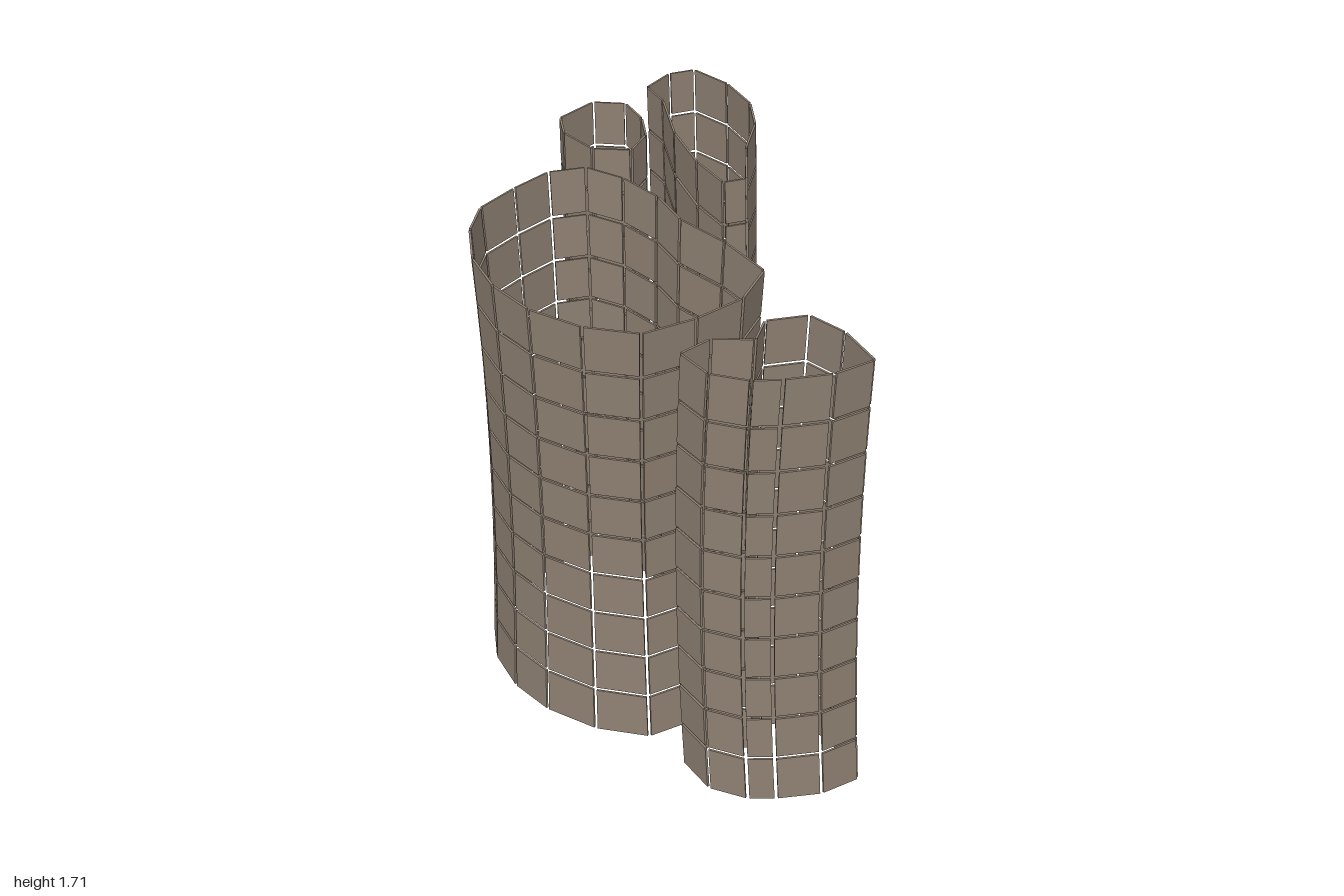
import * as THREE from 'three';

const ROWS = 10, MID = 0.854, GAP = 0.006, HALF_THICK = 0.004;

// Each tower: plan outline [x, z] at its ends, waist pinch, sideways bow at mid height,
// and a rule for how far its ends stop short of the full height
const TOWERS = [
  {
    name: 'mainTower', pinch: 0.055, bow: [0, 0],
    trim: x => 0.024 * THREE.MathUtils.clamp((x + 0.65) / 0.65, 0, 1),
    outline: [[-0.47, 0], [-0.29, 0.01], [-0.12, 0.07], [0.1, 0.08], [0.33, 0.135], [0.405, 0.32],
      [0.385, 0.52], [0.325, 0.71], [0.155, 0.81], [-0.05, 0.852], [-0.24, 0.833], [-0.42, 0.762],
      [-0.57, 0.64], [-0.66, 0.51], [-0.685, 0.33], [-0.69, 0.16], [-0.62, 0.04]],
  },
  {
    name: 'smallTower', pinch: 0, bow: [0, 0], trim: () => 0,
    outline: [[-0.895, -0.435], [-0.76, -0.385], [-0.65, -0.295], [-0.6, -0.17], [-0.71, -0.08],
      [-0.88, -0.1], [-0.985, -0.18], [-0.995, -0.36]],
  },
  {
    name: 'longTower', pinch: 0, bow: [0, -0.012],
    trim: x => 0.012 * THREE.MathUtils.clamp((x + 0.8) / 0.65, 0, 1),
    outline: [[-0.92, -0.835], [-0.74, -0.83], [-0.56, -0.765], [-0.43, -0.65], [-0.32, -0.48],
      [-0.155, -0.305], [-0.195, -0.225], [-0.37, -0.275], [-0.59, -0.385], [-0.81, -0.55],
      [-0.94, -0.595], [-0.965, -0.74]],
  },
  {
    name: 'sideTower', pinch: 0, bow: [-0.03, 0],
    trim: x => 0.018 * THREE.MathUtils.clamp((1 - x) / 0.5, 0, 1),
    outline: [[0.65, 0.27], [0.81, 0.28], [0.995, 0.355], [0.955, 0.5], [0.86, 0.63], [0.79, 0.7],
      [0.66, 0.755], [0.505, 0.72], [0.515, 0.59], [0.625, 0.5], [0.565, 0.39]],
  },
];

// Point on a tower wall: plan position p, level u from -1 (bottom) to 1 (top)
function wallPoint(tower, centre, p, u) {
  const waist = 1 - u * u;
  const s = 1 - tower.pinch * waist;
  return new THREE.Vector3(
    centre.x + (p.x - centre.x) * s + tower.bow[0] * waist,
    MID + (MID - tower.trim(p.x)) * (0.975 * u + 0.025 * u ** 3),
    centre.y + (p.y - centre.y) * s + tower.bow[1] * waist);
}

function pushQuad(list, a, b, c, d) {
  for (const v of [a, b, c, a, c, d]) list.push(v.x, v.y, v.z);
}

// A closed wall of thin, separate, flat-sided panels
function buildTower(tower, material) {
  const points = tower.outline.map(([x, z]) => new THREE.Vector2(x, z));
  const centre = points.reduce((sum, p) => sum.add(p), new THREE.Vector2()).divideScalar(points.length);
  const faces = [];

  points.forEach((p, i) => {
    const q = points[(i + 1) % points.length];
    const inset = GAP / p.distanceTo(q);
    const start = p.clone().lerp(q, inset), end = q.clone().lerp(p, inset);

    for (let row = 0; row < ROWS; row++) {
      const low = -1 + 2 * row / ROWS + (row ? GAP / MID : 0);
      const high = -1 + 2 * (row + 1) / ROWS - (row < ROWS - 1 ? GAP / MID : 0);
      // Corners anticlockwise as seen from outside
      const corners = [[end, low], [start, low], [start, high], [end, high]]
        .map(([plan, u]) => wallPoint(tower, centre, plan, u));
      const normal = corners[2].clone().sub(corners[0])
        .cross(corners[3].clone().sub(corners[1])).setLength(HALF_THICK);
      const outer = corners.map(c => c.clone().add(normal));
      const inner = corners.map(c => c.clone().sub(normal));

      pushQuad(faces, ...outer);
      pushQuad(faces, inner[3], inner[2], inner[1], inner[0]);
      for (let k = 0; k < 4; k++) {
        const n = (k + 1) % 4;
        pushQuad(faces, outer[n], outer[k], inner[k], inner[n]);
      }
    }
  });

  const geometry = new THREE.BufferGeometry();
  geometry.setAttribute('position', new THREE.Float32BufferAttribute(faces, 3));
  geometry.computeVertexNormals();
  const mesh = new THREE.Mesh(geometry, material);
  mesh.name = tower.name;
  return mesh;
}

export function createModel() {
  const panelMaterial = new THREE.MeshStandardMaterial({ color: 0x8e8072 });
  panelMaterial.name = 'taupe panel';

  const model = new THREE.Group();
  model.name = 'panelTowers';
  for (const tower of TOWERS) model.add(buildTower(tower, panelMaterial));
  return model;
}
